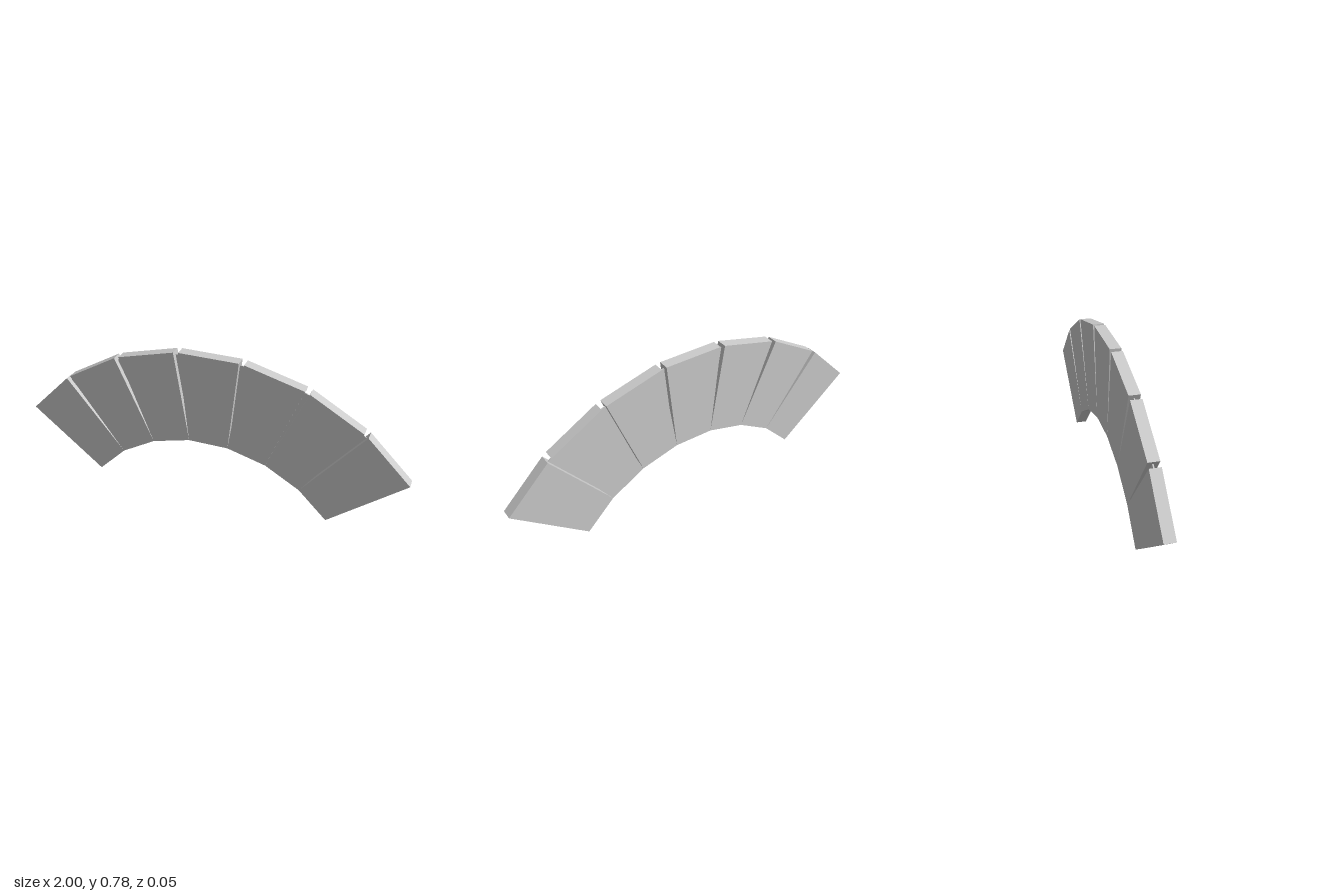
import * as THREE from 'three';

const COUNT = 7;
const STEP = Math.PI / 12; // 15 degrees between panels
const CENTER_Y = -0.479; // centre of the fan's arc
const DEPTH = 0.055;
const WEB_DEPTH = 0.006;

const material = new THREE.MeshStandardMaterial({ color: 0xcccccc, flatShading: true });

// Flat plate from outline points, centred on z = 0
function plate(points, depth) {
  const shape = new THREE.Shape(points.map(([x, y]) => new THREE.Vector2(x, y)));
  const geometry = new THREE.ExtrudeGeometry(shape, { depth, bevelEnabled: false });
  return geometry.translate(0, 0, -depth / 2);
}

export function createModel() {
  const group = new THREE.Group();
  group.name = 'segmentedArch';

  const add = (geometry, name, angle) => {
    const mesh = new THREE.Mesh(geometry, material);
    mesh.name = name;
    mesh.position.y = CENTER_Y;
    mesh.rotation.z = angle;
    group.add(mesh);
  };

  // Tapered panels, touching along the inner arc
  const panel = plate([[-0.1027, 0.78], [0.1027, 0.78], [0.153, 1.261], [-0.153, 1.261]], DEPTH);
  // Thin webs closing the narrow gaps between panels
  const web = plate([[0, 0.787], [0.0128, 1.25], [-0.0128, 1.25]], WEB_DEPTH);

  const half = (COUNT - 1) / 2;
  for (let i = 0; i < COUNT; i++) {
    add(panel, `panel${i + 1}`, (half - i) * STEP);
    if (i < COUNT - 1) add(web, `web${i + 1}`, (half - i - 0.5) * STEP);
  }
  return group;
}
